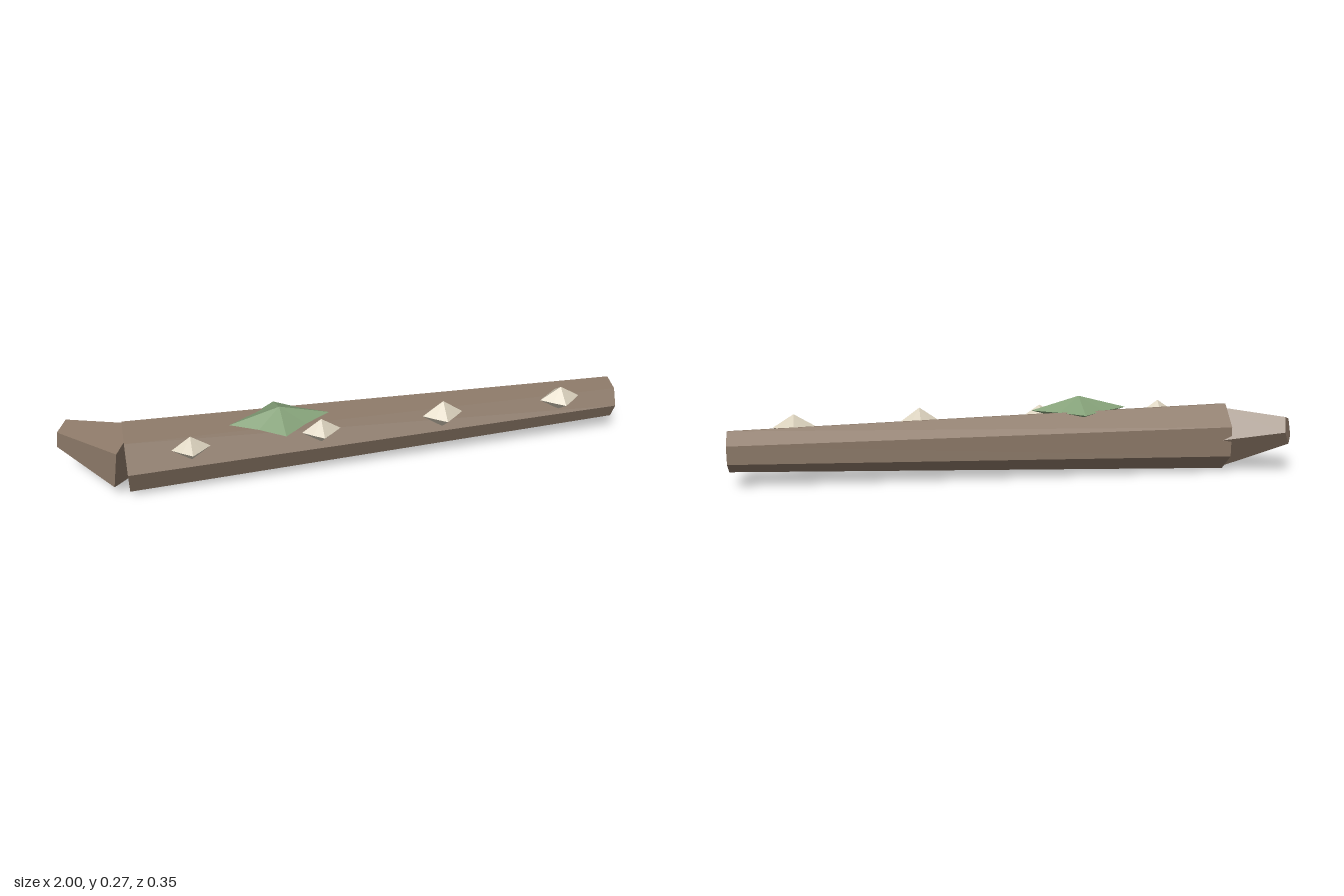
import * as THREE from 'three';

const mat = (color) => new THREE.MeshStandardMaterial({ color, flatShading: true });

// Tapered prism between two points; the first corner faces the "corner" direction
function taperedLog(name, from, to, r0, r1, sides, corner, material) {
  const axis = to.clone().sub(from);
  const geo = new THREE.CylinderGeometry(r1, r0, axis.length(), sides).toNonIndexed();
  geo.computeVertexNormals();
  const y = axis.clone().normalize();
  const x = new THREE.Vector3().crossVectors(y, corner).normalize();
  const z = new THREE.Vector3().crossVectors(x, y);
  geo.applyMatrix4(new THREE.Matrix4().makeBasis(x, y, z));
  const mesh = new THREE.Mesh(geo, material);
  mesh.position.copy(from).add(to).multiplyScalar(0.5);
  mesh.name = name;
  return mesh;
}

// Flat double pyramid with a four-pointed rim
function star(name, rx, ry, rz, waist, material) {
  const rim = (i) => {
    const a = (i * Math.PI) / 4, r = i % 2 ? waist : 1;
    return [rx * r * Math.sin(a), 0, rz * r * Math.cos(a)];
  };
  const p = [];
  for (let i = 0; i < 8; i++) {
    p.push(...rim(i), ...rim(i + 1), 0, ry, 0);
    p.push(...rim(i + 1), ...rim(i), 0, -ry, 0);
  }
  const geo = new THREE.BufferGeometry();
  geo.setAttribute('position', new THREE.Float32BufferAttribute(p, 3));
  geo.computeVertexNormals();
  const mesh = new THREE.Mesh(geo, material);
  mesh.name = name;
  return mesh;
}

export function createModel() {
  const group = new THREE.Group();
  group.name = 'fallenLog';
  const V = (x, y, z) => new THREE.Vector3(x, y, z);
  const bark = mat(0x8a7766), cream = mat(0xd8cfbb), green = mat(0x84a078);

  // Trunk, seven-sided, narrowing towards +x
  group.add(taperedLog('trunk', V(-0.775, 0.125, -0.006), V(1, 0.133, 0.042),
    0.125, 0.075, 7, V(0, 0, 1), bark));

  // Broken branch stub at the thick end
  group.add(taperedLog('branchStub', V(-0.765, 0.125, -0.003), V(-0.976, 0.167, -0.136),
    0.12, 0.052, 5, V(0.53, 0, -0.85), bark));

  // Moss patch on top
  const moss = star('mossPatch', 0.175, 0.048, 0.117, 0.66, green);
  moss.position.set(-0.245, 0.23, 0.053);
  group.add(moss);

  // Row of bracket mushrooms along the front
  [[-0.56, 0.066, 0.046], [-0.11, 0.068, 0.046], [0.33, 0.073, 0.052], [0.775, 0.074, 0.046]]
    .forEach(([x, r, h]) => {
      const m = star('mushroom', r, h, r * 0.8, 0.72, cream);
      m.position.set(x, 0.193, 0.105);
      group.add(m);
    });
  return group;
}
